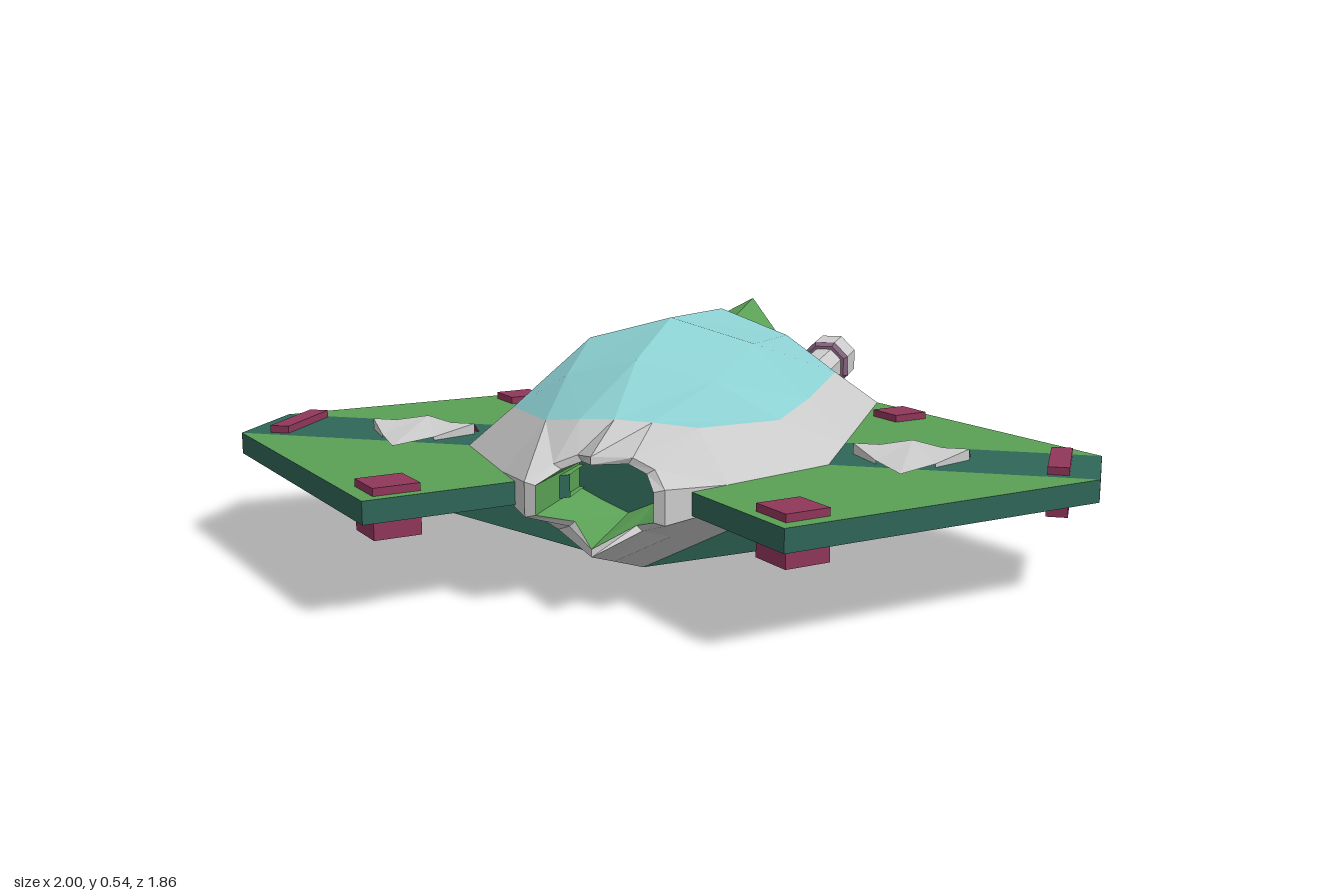
import * as THREE from 'three';

const GREY = 0xcccccc, GREEN = 0x5aa055, TEAL = 0x2f6657, CYAN = 0x8cd0d2, CRIMSON = 0x903659, MAUVE = 0x80607a;

const material = (color) =>
  new THREE.MeshStandardMaterial({ color, flatShading: true, side: THREE.DoubleSide });

// Flat polygons for the +x half, mirrored to -x. An optional outward direction sets the winding.
function panels(name, color, polygons, mirror = true) {
  const pos = [];
  const add = (pts) => {
    for (let i = 1; i < pts.length - 1; i++) pos.push(...pts[0], ...pts[i], ...pts[i + 1]);
  };
  for (const { pts, out } of polygons) {
    let p = pts;
    if (out) {
      const [a, b, c] = p.map((v) => new THREE.Vector3(...v));
      const n = b.sub(a).cross(c.sub(a));
      if (n.dot(new THREE.Vector3(...out)) < 0) p = [...p].reverse();
    }
    add(p);
    if (mirror) add(p.map(([x, y, z]) => [-x, y, z]).reverse());
  }
  const g = new THREE.BufferGeometry();
  g.setAttribute('position', new THREE.Float32BufferAttribute(pos, 3));
  g.computeVertexNormals();
  const m = new THREE.Mesh(g, material(color));
  m.name = name;
  return m;
}

// Quads joining half sections (ordered front to back, each from ridge to keel)
function strips(sections, from = 0, to = sections[0].length - 1) {
  const list = [];
  for (let i = 0; i < sections.length - 1; i++)
    for (let j = from; j < to; j++)
      list.push({ pts: [sections[i][j], sections[i][j + 1], sections[i + 1][j + 1], sections[i + 1][j]] });
  return list;
}

function solid(name, color, geometry, x, y, z) {
  const m = new THREE.Mesh(geometry, material(color));
  m.name = name;
  m.position.set(x, y, z);
  return m;
}

export function createModel() {
  const model = new THREE.Group();
  model.name = 'spacecraft';
  const UP = [0, 1, 0], DOWN = [0, -1, 0], FRONT = [0, 0, 1], BACK = [0, 0, -1];
  const T = 0.26, B = 0.21; // wing slab top and bottom
  const at = (y, ...xz) => xz.map(([x, z]) => [x, y, z]);

  // Wings: green plates with a teal cross band
  const front = [[1, 0.37], [0.1, 0.37], [0.1, 0.6], [0.43, 0.93]];
  const rear = [[1, 0.13], [0.2, 0.13], [0.2, -0.4], [0.42, -0.4]];
  model.add(panels('wingPlates', GREEN, [
    { pts: at(T, ...front), out: UP },
    { pts: at(B, ...front), out: DOWN },
    { pts: at(T, ...rear), out: UP },
  ]));
  const edge = ([ax, az], [bx, bz], out) => ({ pts: [[ax, B, az], [bx, B, bz], [bx, T, bz], [ax, T, az]], out });
  model.add(panels('wingEdgesAndBand', TEAL, [
    { pts: at(T, [1, 0.37], [0.2, 0.37], [0.2, 0.13], [1, 0.13]), out: UP },
    edge([1, 0.37], [1, 0.13], [1, 0, 0]),
    edge([1, 0.37], [0.43, 0.93], [1, 0, 1]),
    edge([0.43, 0.93], [0.1, 0.6], [-1, 0, 1]),
    edge([1, 0.13], [0.42, -0.4], [1, 0, -1]),
  ]));

  // V-shaped underside
  model.add(panels('keelBand', TEAL, [
    { pts: [[1, B, 0.37], [0, 0, 0.38], [0, 0, 0.13], [1, B, 0.13]], out: DOWN },
    { pts: [[1, B, 0.37], [0.42, B, 0.37], [0, 0, 0.38]], out: FRONT },
  ]));
  model.add(panels('keelRear', GREEN, [
    { pts: [[1, B, 0.13], [0, 0, 0.13], [0, 0, -0.44]], out: DOWN },
    { pts: [[1, B, 0.13], [0, 0, -0.44], [0.42, B, -0.4]], out: DOWN },
    { pts: [[0.42, B, -0.4], [0, 0, -0.44], [0, T, -0.44], [0.42, T, -0.4]], out: BACK },
  ]));

  // Fuselage half sections: ridge, shoulder, canopy edge, side top, side bottom, lower flank, keel
  const rim = [[0, 0.34, 0.77], [0.06, 0.32, 0.67], [0.11, 0.3, 0.68], [0.15, 0.275, 0.75],
    [0.15, 0.2, 0.75], [0.08, 0.165, 0.67], [0, 0.13, 0.77]];
  const body = [
    rim,
    [[0, 0.385, 0.6], [0.08, 0.38, 0.59], [0.17, 0.365, 0.55], [0.25, T, 0.61], [0.25, B, 0.61], [0.125, 0.14, 0.61], [0, 0.077, 0.61]],
    [[0, 0.485, 0.43], [0.17, 0.44, 0.4], [0.31, 0.355, 0.37], [0.42, T, 0.37], [0.42, B, 0.37], [0.21, 0.105, 0.375], [0, 0, 0.38]],
    [[0, 0.54, 0.13], [0.2, 0.485, 0.13], [0.33, 0.36, 0.13], [0.42, T, 0.13], [0.42, B, 0.13]],
    [[0, 0.495, -0.4], [0.19, 0.44, -0.33], [0.33, 0.36, -0.26], [0.42, T, -0.4], [0.42, B, -0.4]],
    [[0, 0.44, -0.44], [0.2, 0.37, -0.44], [0.3, 0.32, -0.42], [0.42, T, -0.4], [0.42, B, -0.4]],
  ];
  model.add(panels('canopy', CYAN, strips(body.slice(1, 5), 0, 2)));
  model.add(panels('fuselage', GREY, [
    ...strips(body.slice(0, 2)),
    ...strips(body.slice(1, 3), 2),
    ...strips(body.slice(2, 5), 2, 4),
    ...strips(body.slice(4, 6), 0, 3),
    { pts: [[0, T, -0.44], ...body[5].slice(0, 4)], out: BACK },
  ]));

  // Toothed nose intake: lip, liner and back wall
  const inset = (s, dz) => rim.map(([x, y, z]) => [x * s, 0.235 + (y - 0.235) * s, dz ?? z]);
  const lip = inset(0.84), deep = inset(0.74, 0.5);
  model.add(panels('intakeLip', GREY, strips([lip, rim])));
  model.add(panels('intakeLiner', GREEN, strips([deep, lip])));
  model.add(panels('intakeWall', TEAL, [{ pts: deep, out: FRONT }]));

  // Tail block with pale rear end
  const tail = [
    [[0, 0.44, -0.42], [0.2, 0.37, -0.43], [0.2, 0.09, -0.43], [0, 0, -0.43]],
    [[0, 0.475, -0.8], [0.2, 0.28, -0.61], [0.2, 0.09, -0.61], [0, 0, -0.61]],
    [[0, 0.3, -0.93], [0.08, 0.27, -0.93], [0.08, 0.185, -0.93], [0, 0.13, -0.93]],
  ];
  model.add(panels('tailBlock', GREEN, strips(tail.slice(0, 2))));
  model.add(panels('tailEnd', CYAN, [...strips(tail.slice(1)), { pts: tail[2], out: BACK }]));

  for (const s of [1, -1]) {
    const side = s > 0 ? 'left' : 'right';

    // Thruster: octagonal pod with chamfered rims, on a tapering arm
    const thruster = new THREE.Group();
    thruster.name = side + 'Thruster';
    thruster.position.set(s * 0.26, 0.335, 0);
    const drum = (name, color, rFront, rBack, z0, z1) => {
      const g = new THREE.CylinderGeometry(rFront, rBack, z0 - z1, 8).rotateY(Math.PI / 8).rotateX(Math.PI / 2);
      thruster.add(solid(name, color, g, 0, 0, (z0 + z1) / 2));
    };
    drum('podFrontRim', MAUVE, 0.058, 0.068, -0.495, -0.51);
    drum('pod', GREY, 0.068, 0.068, -0.51, -0.63);
    drum('podRearRim', MAUVE, 0.068, 0.055, -0.63, -0.645);
    drum('arm', GREY, 0.05, 0.05, -0.27, -0.5);
    model.add(thruster);

    // Crimson landing pads through the wings
    const pad = (name, w, d, x, z, turn) =>
      model.add(solid(side + name, CRIMSON, new THREE.BoxGeometry(w, 0.11, d).rotateY(turn), s * x, 0.222, z));
    pad('FrontPad', 0.104, 0.104, 0.425, 0.815, Math.PI / 4);
    pad('RearPad', 0.092, 0.092, 0.502, -0.21, Math.PI / 4);
    pad('TipBar', 0.047, 0.21, 0.912, 0.243, 0);

    // Raised arrow vent: grey wedge with a crimson notched back
    const crest = [[-0.13, 0.285, 0.245], [-0.07, 0.285, 0.245], [0, 0.293, 0.215], [0.07, 0.285, 0.245], [0.13, 0.285, 0.245]];
    const foot = crest.map(([x, , z]) => [x, T, z - 0.03]);
    const tip = [0, T + 0.002, 0.43];
    const hip = (x) => [x, T + 0.008, 0.34];
    const vent = new THREE.Group();
    vent.name = side + 'Vent';
    vent.position.x = s * 0.585;
    vent.add(panels('ventWedge', GREY, [
      { pts: [crest[2], crest[1], hip(-0.065), tip], out: UP },
      { pts: [crest[2], tip, hip(0.065), crest[3]], out: UP },
      { pts: [crest[0], hip(-0.065), crest[1]], out: UP },
      { pts: [crest[4], crest[3], hip(0.065)], out: UP },
      { pts: [crest[0], [-0.13, T, 0.245], [-0.065, T, 0.34], hip(-0.065)], out: [-1, 0, 0.5] },
      { pts: [crest[4], [0.13, T, 0.245], [0.065, T, 0.34], hip(0.065)], out: [1, 0, 0.5] },
    ], false));
    vent.add(panels('ventBack', CRIMSON, crest.slice(1).map((p, i) =>
      ({ pts: [crest[i], p, foot[i + 1], foot[i]], out: [0, 1, -1] })), false));
    model.add(vent);
  }
  return model;
}
